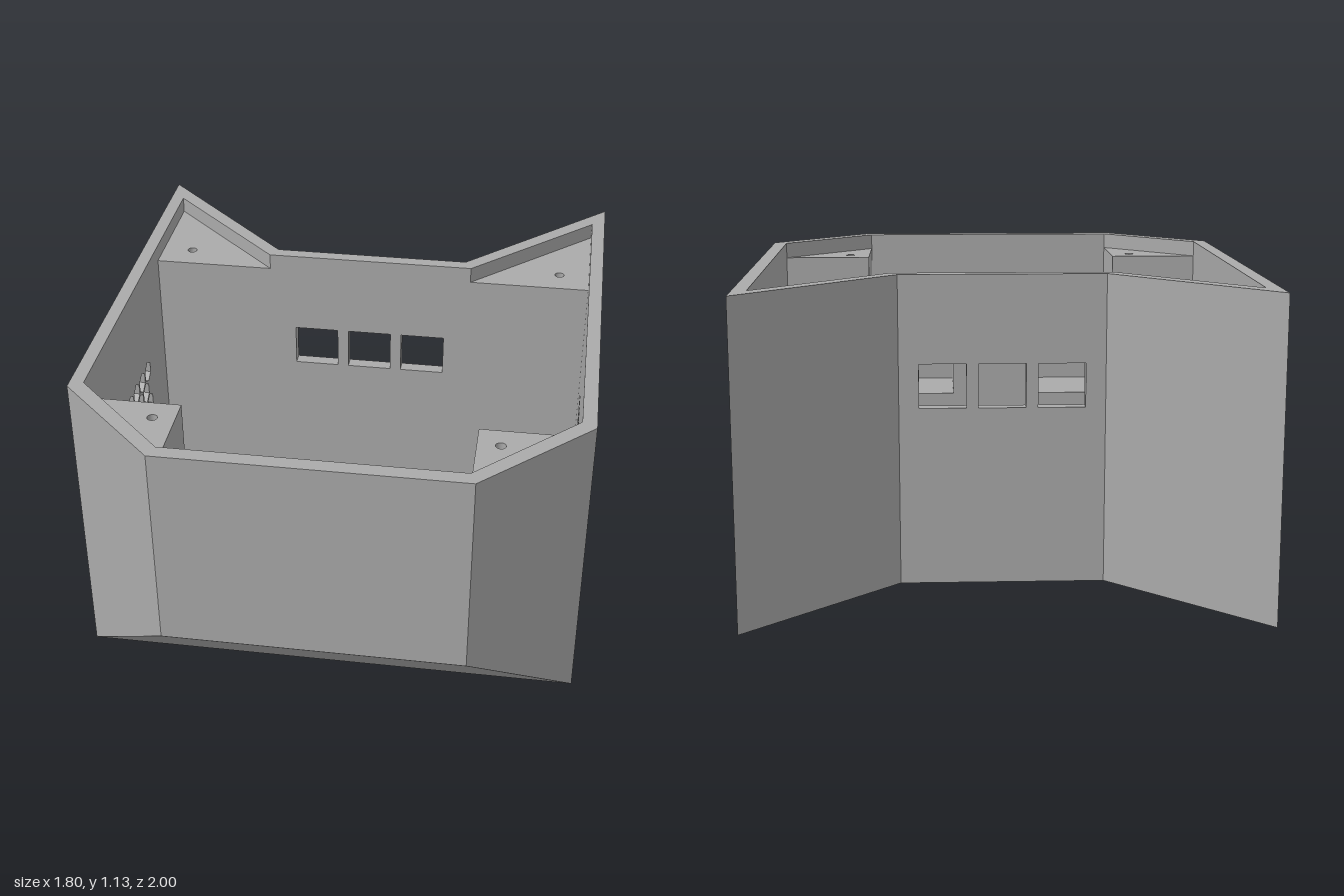
import * as THREE from 'three';

const HEIGHT = 1.13, POST_TOP = 1.07, FLOOR = 0.05, SHELF = 0.49;

// Outline corners [x, z], outer and inner, starting at the back right
const OUTER = [[-0.9, -1], [-0.37, -0.47], [0.37, -0.47], [0.9, -1],
  [0.9, 0.63], [0.53, 1], [-0.53, 1], [-0.9, 0.63]];
const INNER = [[-0.85, -0.87], [-0.395, -0.42], [0.395, -0.42], [0.85, -0.87],
  [0.85, 0.6], [0.51, 0.945], [-0.51, 0.945], [-0.85, 0.6]];
const NAMES = ['backRightWing', 'backWall', 'backLeftWing', 'leftWall',
  'frontLeftCorner', 'frontWall', 'frontRightCorner', 'rightWall'];

const path = pts => new THREE.Path(pts.map(p => new THREE.Vector2(...p)));
const rect = (x0, x1, y0, y1) => path([[x0, y0], [x1, y0], [x1, y1], [x0, y1]]);

// Pointy-topped hexagon grille; zToU converts depth to distance along the wall
function grille(zToU) {
  const holes = [];
  for (let row = 0; row < 5; row++) {
    const count = row % 2 ? 6 : 7;
    for (let i = 0; i < count; i++) {
      const u = zToU(0.095 + (i - (count - 1) / 2) * 0.0845);
      const y = 0.564 + (row - 2) * 0.0735;
      holes.push(path([...Array(6).keys()].map(k => {
        const a = Math.PI / 6 + k * Math.PI / 3;
        return [u + 0.042 * Math.cos(a), y + 0.042 * Math.sin(a)];
      })));
    }
  }
  return holes;
}

// Wall panel with mitred ends between two outline corners
function wallGeometry(i, holes) {
  const j = (i + 1) % 8;
  const [p0, p1, q0, q1] = [OUTER[i], OUTER[j], INNER[i], INNER[j]];
  const len = Math.hypot(p1[0] - p0[0], p1[1] - p0[1]);
  const d = [(p1[0] - p0[0]) / len, (p1[1] - p0[1]) / len];
  const n = [-d[1], d[0]];
  const bottom = p => Math.max(0, p[1] - 0.63);
  const shape = new THREE.Shape([[0, bottom(p0)], [len, bottom(p1)], [len, HEIGHT], [0, HEIGHT]]
    .map(p => new THREE.Vector2(...p)));
  shape.holes = holes;
  const g = new THREE.ExtrudeGeometry(shape, { depth: 1, bevelEnabled: false });
  const pos = g.attributes.position;
  for (let k = 0; k < pos.count; k++) {
    const u = pos.getX(k), t = pos.getZ(k);
    const at = a => {
      if (u < 1e-4) return p0[a] + (q0[a] - p0[a]) * t;
      if (u > len - 1e-4) return p1[a] + (q1[a] - p1[a]) * t;
      return p0[a] + d[a] * u + n[a] * 0.05 * t;
    };
    pos.setXYZ(k, at(0), pos.getY(k), at(1));
  }
  g.computeVertexNormals();
  return g;
}

// Upright prism from an [x, z] outline, with an optional round screw hole
function prism(pts, y0, y1, hole) {
  const shape = new THREE.Shape(pts.map(([x, z]) => new THREE.Vector2(x, -z)));
  if (hole) shape.holes.push(new THREE.Path().absarc(hole[0], -hole[1], 0.018, 0, Math.PI * 2));
  const g = new THREE.ExtrudeGeometry(shape, { depth: y1 - y0, bevelEnabled: false, curveSegments: 16 });
  return g.rotateX(-Math.PI / 2).translate(0, y0, 0);
}

function box(x0, x1, y0, y1, z0, z1) {
  return new THREE.BoxGeometry(x1 - x0, y1 - y0, z1 - z0)
    .translate((x0 + x1) / 2, (y0 + y1) / 2, (z0 + z1) / 2);
}

export function createModel() {
  const group = new THREE.Group();
  const grey = new THREE.MeshStandardMaterial({ color: 0xaaaaaa });
  grey.name = 'plainGrey';
  const add = (name, geometry) => {
    const mesh = new THREE.Mesh(geometry, grey);
    mesh.name = name;
    group.add(mesh);
  };

  // Walls: port windows at the back, grilles on both sides, small slot on the right
  const holes = {
    backWall: [-1, 0, 1].map(k => rect(0.285 + k * 0.213, 0.455 + k * 0.213, 0.65, 0.81)),
    leftWall: grille(z => z + 1),
    rightWall: [...grille(z => 0.63 - z), rect(0.032, 0.085, 0.17, 0.28)],
  };
  NAMES.forEach((name, i) => add(name, wallGeometry(i, holes[name] || [])));

  // Floor
  add('floor', prism([...INNER.slice(0, 5), [0.88, 0.63], [-0.88, 0.63], INNER[7]], 0, FLOOR));

  // Sloping underside at the front
  const slope = new THREE.BufferGeometry();
  slope.setAttribute('position', new THREE.Float32BufferAttribute(
    [-0.9, 0, 0.63, 0.9, 0, 0.63, 0.53, 0.37, 1, -0.53, 0.37, 1], 3));
  slope.setIndex([0, 1, 2, 0, 2, 3]);
  slope.computeVertexNormals();
  add('frontSlope', slope);

  // Raised shelf behind the front wall, with a central block
  add('shelfFace', box(-0.85, 0.85, 0.01, SHELF, 0.6, 0.62));
  add('shelfTop', box(-0.51, 0.51, 0.44, SHELF, 0.6, 0.945));
  add('shelfBlock', box(-0.16, 0.16, SHELF, 0.62, 0.6, 0.945));

  // Triangular screw posts in the four corners
  for (const [side, s] of [['Left', 1], ['Right', -1]]) {
    add('front' + side + 'Post', prism(
      [[s * 0.85, 0.6], [s * 0.51, 0.6], [s * 0.51, 0.945]], 0.44, POST_TOP, [s * 0.59, 0.69]));
    add('back' + side + 'Post', prism(
      [[s * 0.85, -0.42], [s * 0.85, -0.87], [s * 0.395, -0.42]], FLOOR, POST_TOP, [s * 0.735, -0.53]));
  }
  return group;
}
